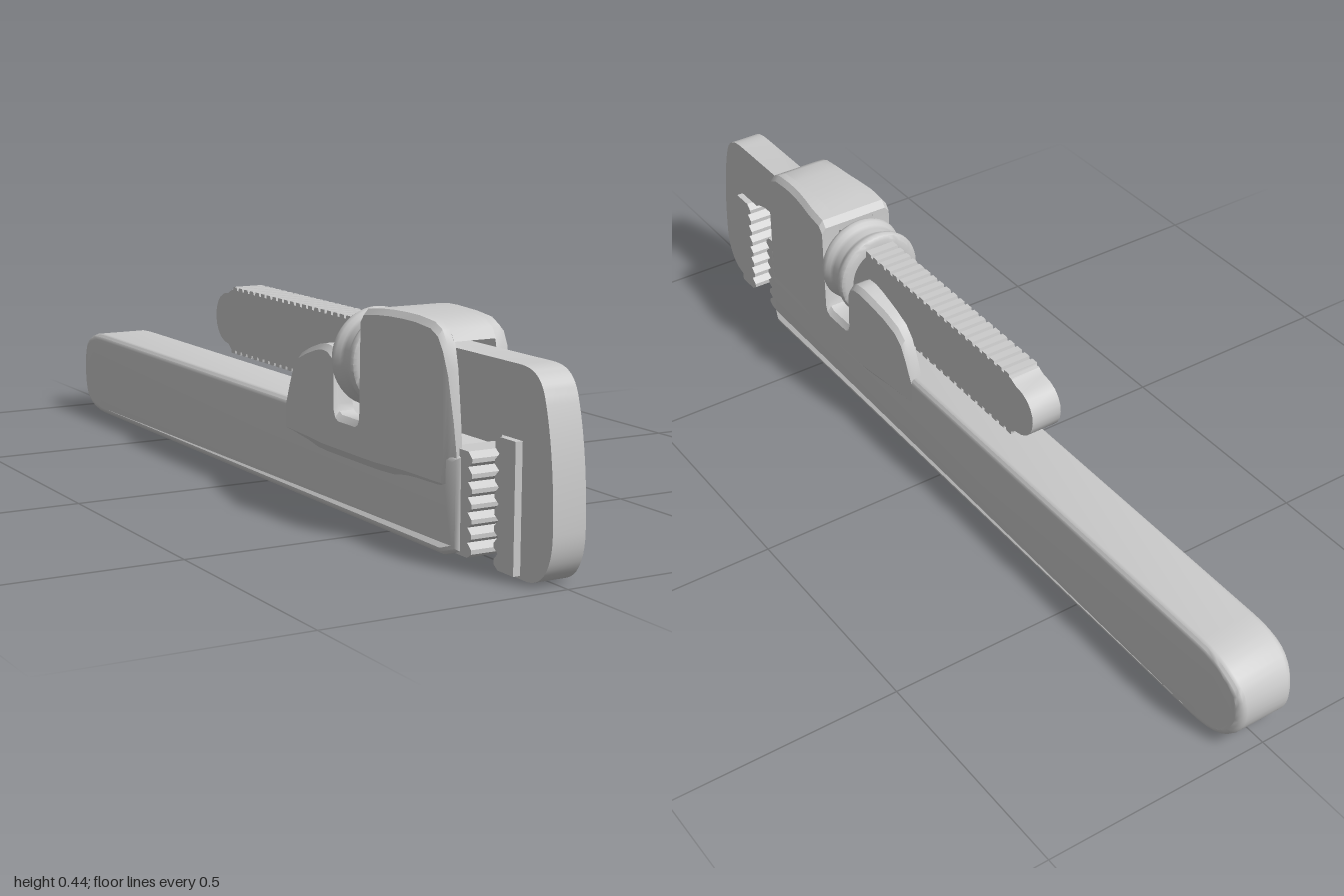
import * as THREE from 'three';
import { toCreasedNormals } from 'three/addons/utils/BufferGeometryUtils.js';

const material = new THREE.MeshStandardMaterial({ color: 0xcccccc });

function makeMesh(name, geometry, crease = 0.6) {
  const mesh = new THREE.Mesh(toCreasedNormals(geometry, crease), material);
  mesh.name = name;
  return mesh;
}

// Extrudes a side profile drawn in (z, y) symmetrically across x
function plate(shape, halfWidth, bevel = 0) {
  const geometry = new THREE.ExtrudeGeometry(shape, {
    depth: 2 * (halfWidth - bevel), bevelEnabled: bevel > 0, bevelSize: bevel,
    bevelThickness: bevel, bevelOffset: -bevel, bevelSegments: 3, curveSegments: 10,
  });
  geometry.translate(0, 0, -(halfWidth - bevel));
  return geometry.rotateY(-Math.PI / 2);
}

const polygon = (points) => new THREE.Shape(points.map(([z, y]) => new THREE.Vector2(z, y)));

// Handle and body in one bar, narrowed slightly at both ends
function makeHandle() {
  const s = new THREE.Shape();
  s.moveTo(-0.87, 0);
  s.lineTo(0.7, 0);
  s.lineTo(0.735, 0.012);
  s.lineTo(0.735, 0.19);
  s.lineTo(0.7, 0.2);
  s.lineTo(-0.87, 0.2);
  s.bezierCurveTo(-0.96, 0.2, -1, 0.155, -1, 0.1);
  s.bezierCurveTo(-1, 0.045, -0.96, 0, -0.87, 0);
  const geometry = plate(s, 0.071, 0.014);
  const p = geometry.attributes.position;
  for (let i = 0; i < p.count; i++) {
    const z = p.getZ(i);
    const back = Math.max(0, (-z - 0.94) / 0.06);
    const front = Math.max(0, (z - 0.7) / 0.035);
    p.setX(i, p.getX(i) * (1 - 0.15 * back * back - 0.2 * front));
  }
  return makeMesh('handle', geometry);
}

// Cheek stations: z, top height, outer half width
const cheekStations = [
  [0.10, 0.195, 0.071], [0.12, 0.245, 0.072], [0.137, 0.28, 0.073], [0.16, 0.303, 0.075],
  [0.20, 0.319, 0.078], [0.25, 0.334, 0.084], [0.28, 0.34, 0.087], [0.305, 0.338, 0.0875],
  [0.32, 0.329, 0.0875], [0.328, 0.312, 0.0875], [0.33, 0.225, 0.0875], [0.336, 0.211, 0.0875],
  [0.347, 0.205, 0.0875], [0.413, 0.205, 0.0875], [0.425, 0.211, 0.0875], [0.43, 0.225, 0.0875],
  [0.433, 0.415, 0.0875], [0.445, 0.43, 0.0875], [0.49, 0.436, 0.0865], [0.53, 0.438, 0.081],
  [0.57, 0.438, 0.076], [0.61, 0.437, 0.074], [0.66, 0.432, 0.073], [0.685, 0.42, 0.0725],
  [0.70, 0.395, 0.071], [0.711, 0.35, 0.066], [0.722, 0.26, 0.059], [0.728, 0.2, 0.056],
];

// Lofts a cheek wall along z; side is +1 or -1
function makeCheek(side) {
  const inner = 0.044, positions = [], index = [], n = 6;
  for (const [z, top, w] of cheekStations) {
    const section = [[inner, 0.12], [w - 0.012, 0.12], [w, 0.137],
      [w, top - 0.012], [w - 0.01, top], [inner, top]];
    for (const [x, y] of section) positions.push(side * x, y, z);
  }
  const tri = (a, b, c) => (side > 0 ? index.push(a, b, c) : index.push(a, c, b));
  const last = (cheekStations.length - 1) * n;
  for (let i = 0; i < last; i += n) {
    for (let j = 0; j < n; j++) {
      const k = (j + 1) % n;
      tri(i + j, i + k, i + n + k);
      tri(i + j, i + n + k, i + n + j);
    }
  }
  for (let j = 1; j < n - 1; j++) {
    tri(0, j + 1, j);
    tri(last, last + j, last + j + 1);
  }
  const geometry = new THREE.BufferGeometry();
  geometry.setAttribute('position', new THREE.Float32BufferAttribute(positions, 3));
  geometry.setIndex(index);
  return makeMesh(side > 0 ? 'leftCheek' : 'rightCheek', geometry);
}

// Roof closing the head above the sliding jaw
function makeRoof() {
  const roof = cheekStations.filter(([z, top]) => z > 0.432 && top > 0.41).map(([z, top]) => [z, top]);
  return makeMesh('headRoof', plate(polygon([[0.433, 0.398], [0.699, 0.398], ...roof.reverse()]), 0.046));
}

// Hook jaw with its notched shank
function makeHookJaw() {
  const s = new THREE.Shape();
  const count = 21, start = 0.33, pitch = 0.55 / count, depth = 0.007;
  const notches = (y, dir, forward) => {
    for (let i = 0; i < count; i++) {
      const z = forward ? -0.22 + i * pitch : start - i * pitch;
      const d = (forward ? 1 : -1) * pitch;
      s.lineTo(z, y);
      s.lineTo(z + d * 0.6, y);
      s.lineTo(z + d * 0.65, y - dir * depth);
      s.lineTo(z + d * 0.95, y - dir * depth);
    }
  };
  s.moveTo(0.87, 0);
  s.lineTo(0.93, 0);
  s.bezierCurveTo(0.98, 0.005, 1, 0.05, 1, 0.1);
  s.bezierCurveTo(1, 0.21, 0.985, 0.29, 0.968, 0.34);
  s.bezierCurveTo(0.955, 0.375, 0.93, 0.385, 0.89, 0.385);
  s.lineTo(0.5, 0.385);
  s.lineTo(0.48, 0.394);
  notches(0.394, 1, false);
  s.lineTo(-0.22, 0.385);
  s.lineTo(-0.235, 0.378);
  s.bezierCurveTo(-0.315, 0.375, -0.315, 0.267, -0.235, 0.263);
  s.lineTo(-0.22, 0.252);
  notches(0.245, -1, true);
  s.lineTo(0.48, 0.245);
  s.lineTo(0.5, 0.266);
  s.lineTo(0.79, 0.266);
  s.quadraticCurveTo(0.82, 0.262, 0.835, 0.25);
  s.lineTo(0.87, 0.25);
  return makeMesh('hookJaw', plate(s, 0.035));
}

// Toothed jaw insert: teeth grow from zFace towards zBack's opposite side
function makeInsert(name, zBack, zFace, top, teeth) {
  const dir = Math.sign(zFace - zBack), y0 = 0.006, pitch = (top - y0) / teeth;
  const points = [[zBack, y0]];
  for (let i = 0; i < teeth; i++) {
    const y = y0 + i * pitch;
    points.push([zFace - dir * 0.013, y], [zFace, y + pitch * 0.3], [zFace, y + pitch * 0.6]);
  }
  points.push([zFace - dir * 0.013, top], [zBack, top]);
  if (dir < 0) points.reverse();
  return makeMesh(name, plate(polygon(points), 0.05), 0.3);
}

// Grooved adjusting nut around the shank
function makeNut() {
  const half = [[0.07, 0.046], [0.089, 0.046], [0.097, 0.042], [0.1, 0.034],
    [0.098, 0.025], [0.092, 0.017], [0.089, 0.008]];
  const points = [
    ...half.map(([r, z]) => new THREE.Vector2(r, -z)),
    ...half.slice().reverse().map(([r, z]) => new THREE.Vector2(r, z)),
    new THREE.Vector2(0.07, -0.046),
  ];
  const geometry = new THREE.LatheGeometry(points, 48).rotateX(Math.PI / 2);
  const mesh = makeMesh('adjustingNut', geometry, 0.75);
  mesh.position.set(0, 0.318, 0.38);
  return mesh;
}

export function createModel() {
  const model = new THREE.Group();
  model.name = 'pipeWrench';
  model.add(
    makeHandle(),
    makeCheek(1),
    makeCheek(-1),
    makeRoof(),
    makeHookJaw(),
    makeInsert('hookJawTeeth', 0.905, 0.843, 0.25, 8),
    makeInsert('heelJawTeeth', 0.70, 0.77, 0.205, 7),
    makeNut(),
  );
  return model;
}
